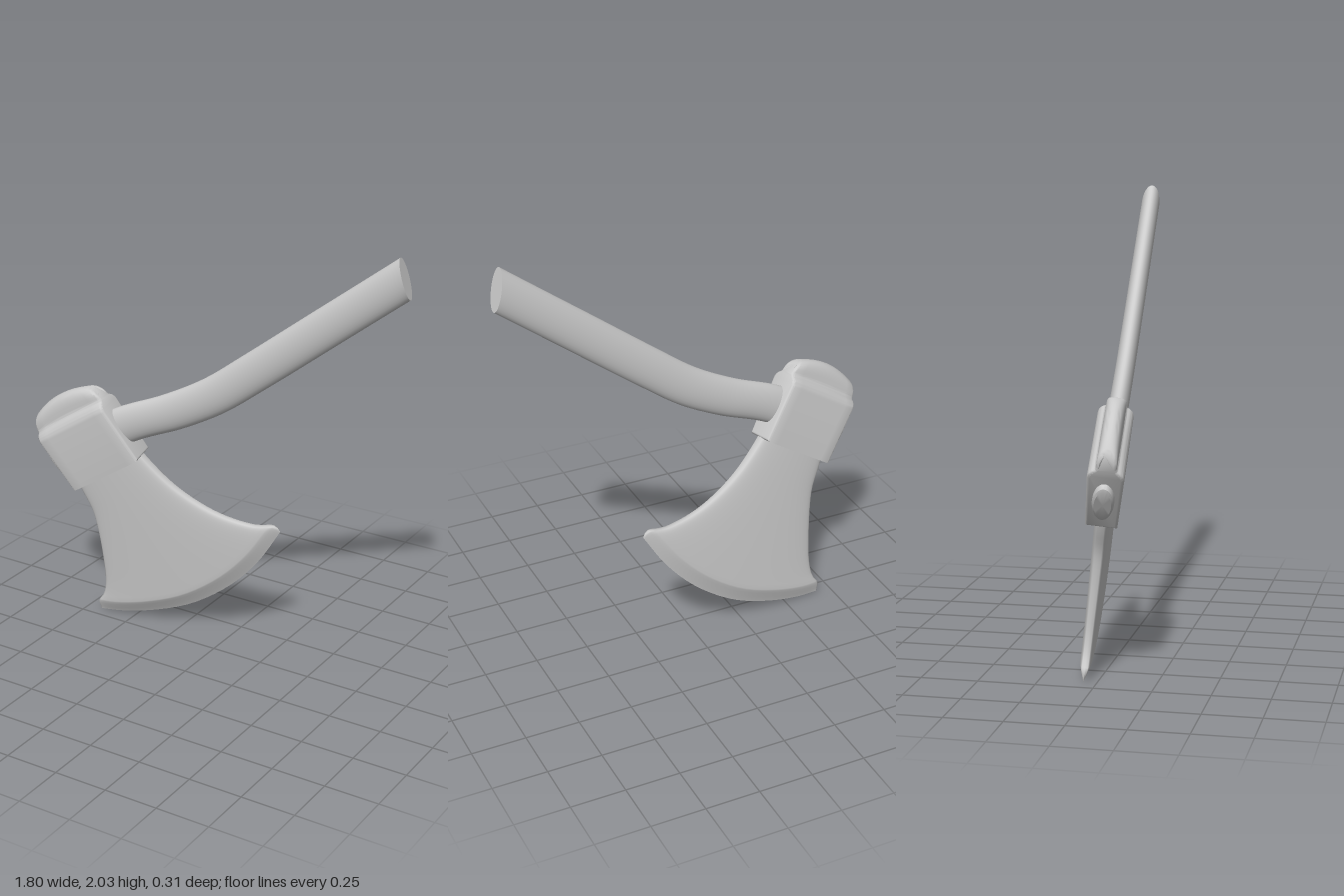
import * as THREE from 'three';
import { toCreasedNormals } from 'three/addons/utils/BufferGeometryUtils.js';

const material = new THREE.MeshStandardMaterial({ color: 0xcccccc });

// Axes of the tilted axe: along the handle, up towards the poll, out of the cheek
const U = new THREE.Vector3(0.84, 0.54, -0.07).normalize();
const W = U.clone().cross(new THREE.Vector3(-0.525, 0.85, 0.185)).normalize();
const V = W.clone().cross(U);
const ORIGIN = new THREE.Vector3(-0.65, 0.95, 0.05);

// Upright x, y to the axe's own plane
function local([x, y]) {
  const dx = x - ORIGIN.x, dy = y - ORIGIN.y;
  const det = U.x * V.y - U.y * V.x;
  return new THREE.Vector3((dx * V.y - dy * V.x) / det, (dy * U.x - dx * U.y) / det, 0);
}
const spline = (pts) => new THREE.CatmullRomCurve3(pts.map(local), false, 'centripetal');

// Skin closed rings of Vector3, with flat caps at both ends
function loft(rings) {
  const n = rings[0].length, pos = [], index = [];
  const add = (p) => pos.push(p.x, p.y, p.z) / 3 - 1;
  rings.forEach((ring) => ring.forEach(add));
  for (let i = 0; i < rings.length - 1; i++) {
    for (let j = 0; j < n; j++) {
      const k = (j + 1) % n;
      const a = i * n + j, b = i * n + k, c = a + n, d = b + n;
      index.push(a, b, c, b, d, c);
    }
  }
  [rings[0], rings[rings.length - 1]].forEach((ring, end) => {
    const centre = new THREE.Vector3();
    ring.forEach((p) => centre.addScaledVector(p, 1 / n));
    const c = add(centre), first = c + 1;
    ring.forEach(add);
    for (let j = 0; j < n; j++) {
      const p = first + j, q = first + (j + 1) % n;
      if (end) index.push(c, p, q);
      else index.push(c, q, p);
    }
  });
  const geo = new THREE.BufferGeometry();
  geo.setAttribute('position', new THREE.Float32BufferAttribute(pos, 3));
  geo.setIndex(index);
  geo.computeVertexNormals();
  return geo;
}

// Oval, gently bent handle with an oblique cut at the far end
function handleGeometry() {
  const path = new THREE.CatmullRomCurve3([
    [-0.2, -0.03], [0.2, -0.025], [0.48, -0.07], [0.71, -0.087],
    [0.95, -0.072], [1.38, -0.035], [1.82, 0.003],
  ].map(([a, b]) => new THREE.Vector3(a, b, 0)));
  const rings = [];
  for (let i = 0; i <= 40; i++) {
    const s = i / 40, c = path.getPointAt(s);
    const shear = 0.33 * THREE.MathUtils.smoothstep(s, 0.6, 1);
    const ring = [];
    for (let j = 0; j < 32; j++) {
      const q = (j / 32) * Math.PI * 2, h = 0.09 * Math.cos(q);
      ring.push(new THREE.Vector3(c.x + h * shear, c.y + h, 0.043 * Math.sin(q)));
    }
    rings.push(ring);
  }
  return loft(rings);
}

// Flared blade: rows run from the neck to the curved cutting edge
function bladeGeometry() {
  const heel = spline([[-0.74, 0.75], [-0.705, 0.66], [-0.663, 0.56], [-0.645, 0.45],
    [-0.635, 0.3], [-0.635, 0.18], [-0.652, 0.1], [-0.685, 0.045], [-0.68, 0]]);
  const toe = spline([[-0.43, 0.96], [-0.37, 0.885], [-0.25, 0.77], [-0.12, 0.69],
    [0, 0.645], [0.15, 0.625], [0.25, 0.64], [0.27, 0.615]]);
  const edge = spline([[-0.68, 0], [-0.57, 0.01], [-0.4, 0.05], [-0.2, 0.13],
    [0, 0.27], [0.15, 0.43], [0.27, 0.615]]);
  const rows = [];
  for (let i = 0; i <= 22; i++) rows.push([i / 24, 0.037 - 0.005 * i / 22]);
  rows.push([0.93, 0.03], [0.95, 0.023], [0.975, 0.012], [0.99, 0.005], [1, 0.001]);
  return loft(rows.map(([s, half]) => {
    const l = heel.getPointAt(s), r = toe.getPointAt(s), ring = [];
    for (let j = 0; j < 64; j++) {
      const q = (j / 64) * Math.PI * 2, t = 0.5 + 0.5 * Math.cos(q), sin = Math.sin(q);
      const bow = edge.getPointAt(t)
        .sub(heel.getPointAt(1).lerp(toe.getPointAt(1), t));
      const p = l.clone().lerp(r, t).addScaledVector(bow, Math.pow(s, 1.6));
      p.z = half * Math.sign(sin) * Math.pow(Math.abs(sin), 0.4);
      ring.push(p);
    }
    return ring;
  }));
}

// Eye block: wide cheeks stepping in to a narrow rounded poll
function blockGeometry() {
  const bevel = 0.012;
  const s = new THREE.Shape();
  s.moveTo(-0.056, -0.178);
  s.lineTo(0.056, -0.178);
  s.lineTo(0.064, 0.085);
  s.quadraticCurveTo(0.062, 0.11, 0.043, 0.122);
  s.quadraticCurveTo(0.03, 0.13, 0.03, 0.155);
  s.quadraticCurveTo(0.03, 0.215, 0, 0.217);
  s.quadraticCurveTo(-0.03, 0.215, -0.03, 0.155);
  s.quadraticCurveTo(-0.03, 0.13, -0.043, 0.122);
  s.quadraticCurveTo(-0.062, 0.11, -0.064, 0.085);
  s.closePath();
  const depth = 0.41 - 2 * bevel;
  const geo = new THREE.ExtrudeGeometry(s, {
    depth, steps: 8, curveSegments: 8,
    bevelThickness: bevel, bevelSize: bevel, bevelSegments: 3,
  });
  geo.translate(0, 0, -depth / 2).rotateY(Math.PI / 2);
  // Draw in the ends of the poll and bow its top
  const p = geo.attributes.position;
  for (let i = 0; i < p.count; i++) {
    const k = Math.max(0, (p.getY(i) - 0.1) / 0.129), x = p.getX(i);
    p.setX(i, x * (1 - 0.2 * k ** 3));
    p.setY(i, p.getY(i) + k * (0.01 - 0.75 * x * x));
  }
  return toCreasedNormals(geo, 0.6);
}

export function createModel() {
  const axe = new THREE.Group();
  axe.name = 'axe';
  const add = (name, geometry) => {
    const mesh = new THREE.Mesh(geometry, material);
    mesh.name = name;
    axe.add(mesh);
    return mesh;
  };
  add('handle', handleGeometry());
  add('blade', bladeGeometry());
  add('eyeBlock', blockGeometry());

  // Oval butt of the handle showing through the eye
  const butt = new THREE.LatheGeometry([
    [0, 0.04], [0.78, 0.04], [0.93, 0.034], [1, 0.022], [1, 0],
  ].reverse().map(([r, y]) => new THREE.Vector2(r, y)), 32);
  butt.scale(0.094, 1, 0.046).rotateZ(Math.PI / 2);
  add('handleButt', toCreasedNormals(butt, 0.6)).position.set(-0.195, -0.032, 0);

  axe.quaternion.setFromRotationMatrix(new THREE.Matrix4().makeBasis(U, V, W));
  axe.position.copy(ORIGIN);
  const model = new THREE.Group();
  model.add(axe);
  return model;
}
